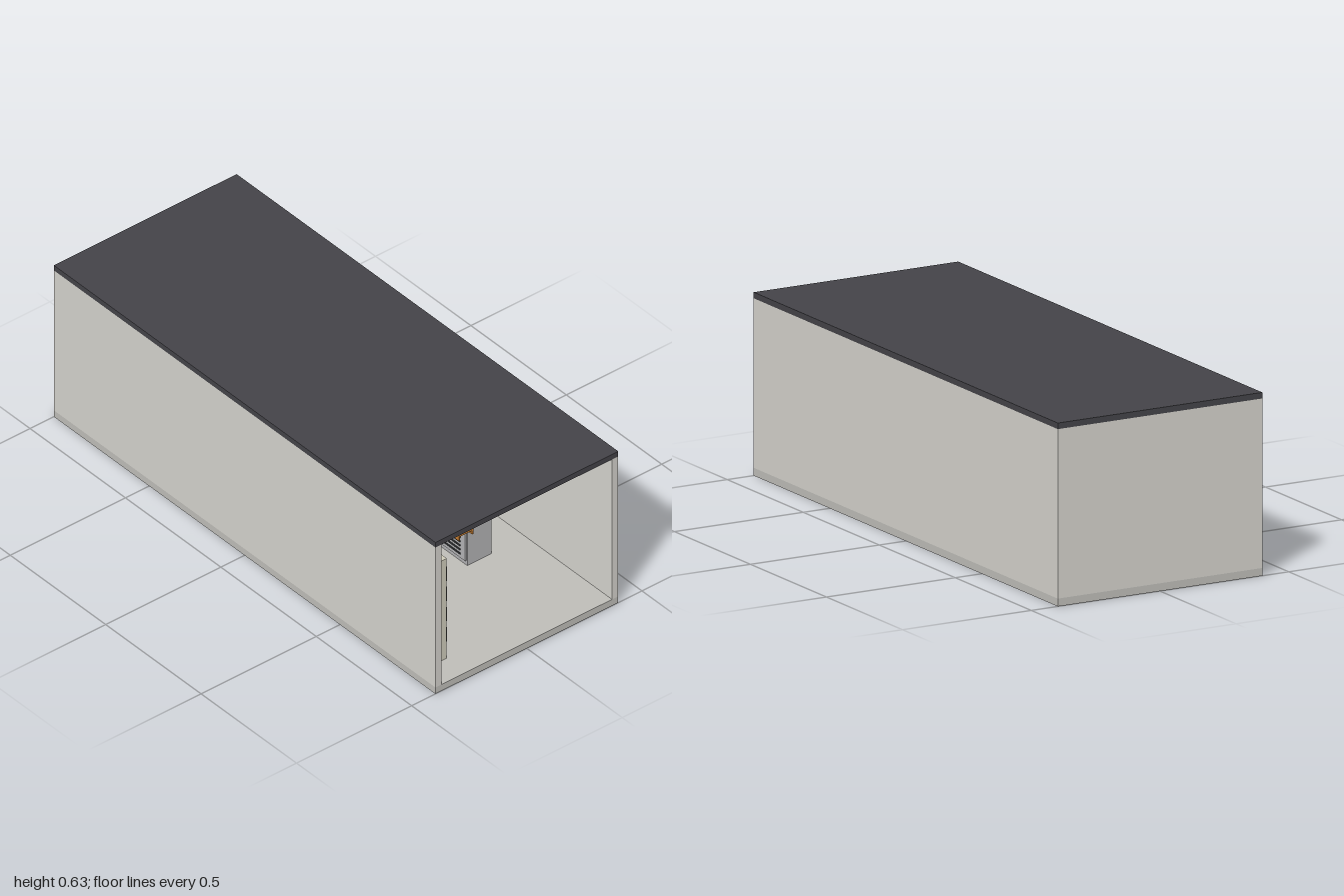
import * as THREE from 'three';

const mat = (color) => new THREE.MeshStandardMaterial({ color });
const wallMat = mat(0xd4d2cc), slabMat = mat(0xbebdb8), roofMat = mat(0x444348);
const beige = mat(0xcfccba), grey = mat(0xb2b2b4), steel = mat(0xa9adb0);
const ductMat = mat(0xb0b7bb), orange = mat(0xc07a30), dark = mat(0x3a3c40);

// Box given by its limits on each axis
function box(parent, name, material, [x0, x1], [y0, y1], [z0, z1]) {
  const m = new THREE.Mesh(new THREE.BoxGeometry(x1 - x0, y1 - y0, z1 - z0), material);
  m.position.set((x0 + x1) / 2, (y0 + y1) / 2, (z0 + z1) / 2);
  m.name = name;
  parent.add(m);
  return m;
}

function group(parent, name) {
  const g = new THREE.Group();
  g.name = name;
  parent.add(g);
  return g;
}

// Ladder tray running along x: two side rails and rungs
function ladderX(parent, name, [x0, x1], y, [z0, z1], h = 0.015) {
  const g = group(parent, name);
  for (const z of [z0, z1]) box(g, 'rail', steel, [x0, x1], [y - h / 2, y + h / 2], [z - 0.002, z + 0.002]);
  for (let x = x0 + 0.03; x < x1; x += 0.06) {
    box(g, 'rung', steel, [x, x + 0.008], [y - 0.002, y + 0.002], [z0, z1]);
  }
}

// Ladder tray running along z, between the side walls
function ladderZ(parent, name, x, width) {
  const g = group(parent, name);
  for (const s of [-1, 1]) {
    const c = x + s * width / 2;
    box(g, 'rail', steel, [c - 0.003, c + 0.003], [0.571, 0.584], [-0.335, 0.335]);
  }
  for (let z = -0.33; z <= 0.331; z += 0.066) {
    box(g, 'rung', steel, [x - width / 2, x + width / 2], [0.575, 0.579], [z - 0.004, z + 0.004]);
  }
  for (const z of [-0.337, 0.337]) {
    box(g, 'endCap', steel, [x - width / 2, x + width / 2], [0.573, 0.582], [z - 0.003, z + 0.003]);
  }
}

// Tall beige switch cabinet with four drawer units facing -z
function switchCabinet(parent, x0, x1) {
  const g = group(parent, 'switchCabinet');
  box(g, 'body', beige, [x0, x1], [0.027, 0.437], [0.264, 0.37]);
  box(g, 'topCover', beige, [x0, x1], [0.437, 0.445], [0.264, 0.37]);
  box(g, 'door', beige, [x0 + 0.005, x1 - 0.005], [0.055, 0.435], [0.26, 0.264]);
  const w = x1 - x0;
  for (let row = 0; row < 4; row++) {
    const y = 0.073 + row * 0.0845;
    box(g, 'breaker', dark, [x1 - 0.055, x1 - 0.025], [y, y + 0.06], [0.243, 0.26]);
    box(g, 'breakerKnob', dark, [x1 - 0.045, x1 - 0.035], [y + 0.015, y + 0.045], [0.238, 0.243]);
    for (let i = 0; i < 4; i++) {
      for (let j = 0; j < 3; j++) {
        const x = x0 + 0.02 + i * (w - 0.1) / 3;
        box(g, 'indicator', dark, [x, x + 0.007], [y + j * 0.022, y + j * 0.022 + 0.007], [0.2585, 0.26]);
      }
    }
  }
}

// Lower grey equipment rack facing +z
function rack(parent, x0, x1) {
  const g = group(parent, 'equipmentRack');
  box(g, 'body', grey, [x0, x1], [0.027, 0.417], [-0.222, -0.117]);
  box(g, 'door', grey, [x0 + 0.005, x1 - 0.005], [0.045, 0.4], [-0.117, -0.112]);
  for (let y = 0.06; y < 0.215; y += 0.017) {
    box(g, 'ventSlot', dark, [x0 + 0.03, x1 - 0.03], [y, y + 0.006], [-0.112, -0.109]);
  }
  box(g, 'handle', dark, [x1 - 0.025, x1 - 0.018], [0.3, 0.33], [-0.112, -0.108]);
  box(g, 'statusLight', dark, [x0 + 0.03, x0 + 0.045], [0.385, 0.4], [-0.112, -0.109]);
}

export function createModel() {
  const root = new THREE.Group();
  root.name = 'equipmentRoom';

  // Shell, open at the +x end
  const W = 0.397, T = 0.027;
  box(root, 'floor', slabMat, [-1, 1], [0, T], [-W, W]);
  box(root, 'frontWall', wallMat, [-1, 1], [T, 0.613], [W - T, W]);
  box(root, 'backWall', wallMat, [-1, 1], [T, 0.613], [-W, T - W]);
  box(root, 'endWall', wallMat, [-1, T - 1], [T, 0.613], [T - W, W - T]);
  box(root, 'roof', roofMat, [-1, 1], [0.613, 0.634], [-W, W]);
  box(root, 'wallBox', grey, [-0.973, -0.93], [0.261, 0.362], [0.043, 0.12]);

  // Two facing rows of cabinets
  for (let i = 0; i < 10; i++) switchCabinet(root, 0.742 - i * 0.16, 0.899 - i * 0.16);
  for (let i = 0; i < 7; i++) rack(root, 0.39 - i * 0.16, 0.547 - i * 0.16);

  // Air ducts across the ceiling with straps
  for (const x of [0.6, -0.4]) {
    const duct = group(root, 'airDuct');
    box(duct, 'ductBody', ductMat, [x - 0.06, x + 0.06], [0.526, 0.585], [-0.37, 0.37]);
    for (const z of [-0.141, 0.142]) {
      box(duct, 'strap', steel, [x - 0.063, x + 0.063], [0.524, 0.589], [z - 0.004, z + 0.004]);
    }
  }

  // Cable ladders
  for (const x of [0.85, 0.3, -0.1, -0.7]) ladderZ(root, 'crossLadder', x, 0.07);
  ladderX(root, 'middleLadder', [-0.85, 0.8], 0.546, [-0.057, 0.004]);
  ladderX(root, 'rearLadder', [-0.85, 0.9], 0.57, [-0.269, -0.208]);

  // Orange inverted tray on hanger rods
  const tray = group(root, 'orangeTray');
  box(tray, 'trayTop', orange, [-0.9, 0.95], [0.558, 0.566], [0.19, 0.254]);
  for (const z of [0.193, 0.251]) box(tray, 'traySide', orange, [-0.9, 0.95], [0.542, 0.56], [z - 0.003, z + 0.003]);
  for (let x = -0.8; x < 0.95; x += 0.34) {
    box(tray, 'hangerRod', dark, [x - 0.002, x + 0.002], [0.566, 0.613], [0.22, 0.223]);
  }

  // Ceiling lights on rods
  for (const x of [0.75, 0.25, -0.25, -0.75]) {
    const light = group(root, 'ceilingLight');
    box(light, 'lightBody', steel, [x - 0.08, x + 0.08], [0.566, 0.574], [0.073, 0.1]);
    for (const z of [0.077, 0.096]) box(light, 'lightLip', steel, [x - 0.08, x + 0.08], [0.562, 0.567], [z - 0.003, z + 0.003]);
    box(light, 'lightRod', dark, [x - 0.002, x + 0.002], [0.574, 0.613], [0.084, 0.087]);
  }

  // Hanging sensor above the first cabinet
  const sensor = group(root, 'ceilingSensor');
  box(sensor, 'sensorStem', steel, [0.748, 0.752], [0.518, 0.602], [0.318, 0.323]);
  box(sensor, 'sensorHead', steel, [0.742, 0.758], [0.504, 0.518], [0.314, 0.327]);

  // Thin conduits under the roof
  for (const z of [0.278, 0.3, -0.292]) {
    box(root, 'conduit', steel, [-0.9, 0.8], [0.586, 0.593], [z - 0.003, z + 0.003]);
  }

  // Cable riser over the grey racks
  const riser = group(root, 'cableRiser');
  box(riser, 'riserPost', steel, [0.44, 0.46], [0.417, 0.468], [-0.172, -0.168]);
  box(riser, 'riserTop', steel, [0.44, 0.46], [0.464, 0.469], [-0.178, -0.168]);
  const brace = box(riser, 'riserBrace', steel, [0.44, 0.46], [0.468, 0.526], [-0.19, -0.186]);
  brace.rotation.x = 0.22;
  return root;
}
